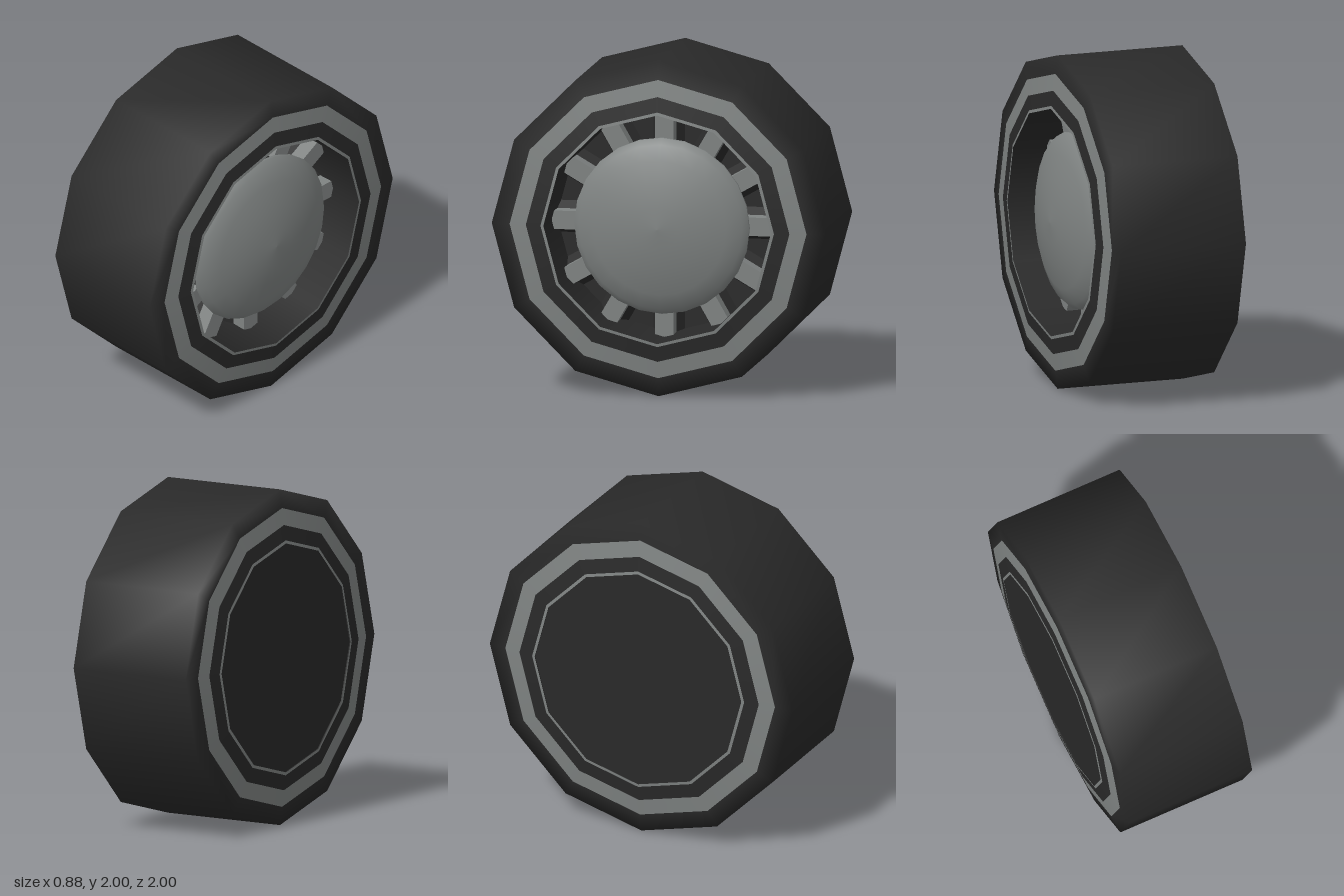
import * as THREE from 'three';

const SIDES = 12;

export function createModel() {
  const rubber = new THREE.MeshStandardMaterial({ color: 0x292929 });
  rubber.name = 'darkRubber';
  const metal = new THREE.MeshStandardMaterial({ color: 0x7f8382 });
  metal.name = 'greyMetal';

  const wheel = new THREE.Group();
  wheel.name = 'wheel';

  // Surface turned about the x axis; profile points are [radius, x]
  const turn = (name, profile, material, sides = SIDES) => {
    const points = profile.map(([r, x]) => new THREE.Vector2(r, x));
    const geometry = new THREE.LatheGeometry(points, sides);
    geometry.rotateZ(-Math.PI / 2);
    const mesh = new THREE.Mesh(geometry, material);
    mesh.name = name;
    wheel.add(mesh);
  };

  // Sidewalls lean outward from the tread to the rim
  const outer = (r) => [r, 0.39 + 0.135 * (1 - r)];
  const inner = (r) => [r, -0.4 - 0.135 * (1 - r)];

  // Tyre with rounded shading over the shoulders
  turn('tyreTread', [inner(0.89), inner(1), outer(1), outer(0.89)], rubber);

  // Sidewall bands and rim lips on both sides
  const bands = [
    ['sidewallStripe', 0.89, 0.79, metal],
    ['innerSidewall', 0.79, 0.7, rubber],
    ['rimLip', 0.7, 0.682, metal],
  ];
  for (const [name, big, small, material] of bands) {
    turn(name + 'Outer', [outer(big), outer(small)], material);
    turn(name + 'Inner', [inner(small), inner(big)], material);
  }

  // Recessed barrel and its floor on the outer side
  turn('barrelWall', [outer(0.682), [0.672, 0.08]], rubber);
  turn('barrelFloor', [[0.672, 0.08], [0, 0.08]], rubber);

  // Closing plate on the inner side, almost flush with the lip
  turn('backPlate', [[0, -0.436], [0.682, -0.436]], rubber);
  turn('backPlateEdge', [[0.682, -0.436], inner(0.682)], rubber);

  // Hub drum and domed cap
  turn('hubDrum', [[0.48, 0.08], [0.48, 0.28]], rubber);
  turn('hubCapUnderside', [[0.47, 0.28], [0.525, 0.28]], metal, 24);
  turn('hubCapEdge', [[0.525, 0.28], [0.525, 0.295]], metal, 24);
  const dome = [[0.525, 0.295], [0.49, 0.335], [0.4, 0.375], [0.26, 0.41], [0.13, 0.432], [0, 0.44]];
  turn('hubCap', dome, metal, 24);

  // Spokes: a grey bar on a flared dark footing
  const start = 0.45;
  const length = 0.225;
  const barGeometry = new THREE.BoxGeometry(0.09, 0.11, length);
  barGeometry.translate(0.175, 0, start + length / 2);
  const section = new THREE.Shape([
    new THREE.Vector2(0.08, -0.095),
    new THREE.Vector2(0.13, -0.055),
    new THREE.Vector2(0.13, 0.055),
    new THREE.Vector2(0.08, 0.095),
  ]);
  const footGeometry = new THREE.ExtrudeGeometry(section, { depth: length, bevelEnabled: false });
  footGeometry.translate(0, 0, start);
  for (let i = 0; i < SIDES; i++) {
    const spoke = new THREE.Group();
    spoke.name = 'spoke' + (i + 1);
    const bar = new THREE.Mesh(barGeometry, metal);
    bar.name = 'spokeBar';
    const foot = new THREE.Mesh(footGeometry, rubber);
    foot.name = 'spokeFooting';
    spoke.add(bar, foot);
    spoke.rotation.x = (i / SIDES) * Math.PI * 2;
    wheel.add(spoke);
  }

  // Stand the wheel on the ground
  wheel.position.y = 1;
  const model = new THREE.Group();
  model.name = 'wheelModel';
  model.add(wheel);
  return model;
}
